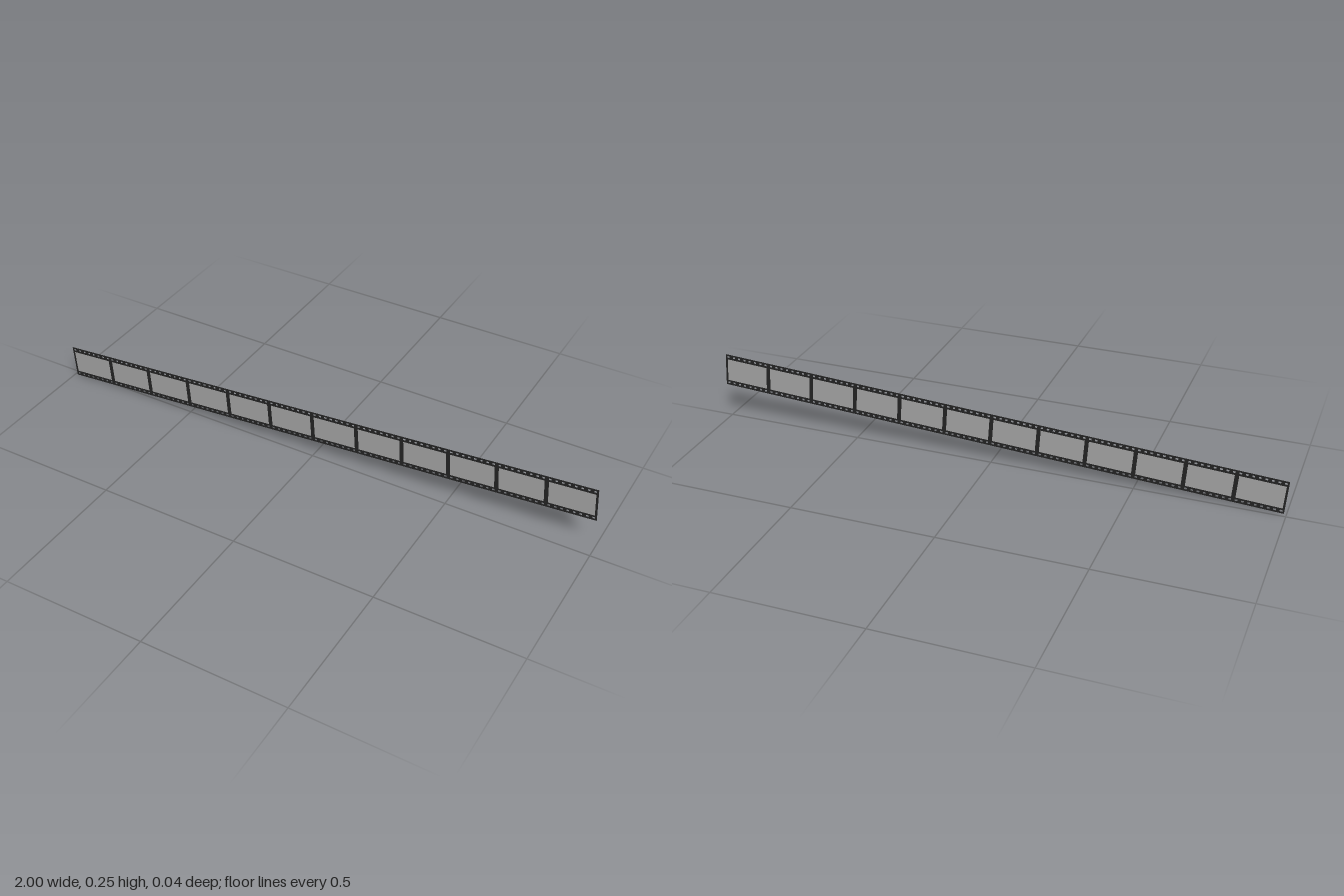
import * as THREE from 'three';

const FRAMES = 12, LENGTH = 1.995, HEIGHT = 0.118, THICK = 0.002;
const PITCH = LENGTH / FRAMES;
const WIN_W = PITCH - 0.014, WIN_H = 0.082;
const PERFS = 8, PERF_W = 0.009, PERF_H = 0.007, PERF_Y = 0.0505;

// Adds a centred rectangle to a shape or hole path
function rect(path, x, y, w, h) {
  path.moveTo(x - w / 2, y - h / 2);
  path.lineTo(x + w / 2, y - h / 2);
  path.lineTo(x + w / 2, y + h / 2);
  path.lineTo(x - w / 2, y + h / 2);
  path.closePath();
  return path;
}

export function createModel() {
  const model = new THREE.Group();
  model.name = 'filmStrip';
  const strip = new THREE.Group();
  strip.name = 'strip';
  const dark = new THREE.MeshStandardMaterial({ color: 0x222222 });
  const grey = new THREE.MeshStandardMaterial({ color: 0xa0a0a0 });

  // Film base with picture windows and two rows of perforations
  const outline = rect(new THREE.Shape(), 0, 0, LENGTH, HEIGHT);
  const panelGeo = new THREE.BoxGeometry(WIN_W, WIN_H, THICK * 0.5);
  for (let i = 0; i < FRAMES; i++) {
    const x = (i + 0.5) * PITCH - LENGTH / 2;
    outline.holes.push(rect(new THREE.Path(), x, 0, WIN_W, WIN_H));
    for (let j = 0; j < PERFS; j++) {
      const px = x + ((j + 0.5) / PERFS - 0.5) * PITCH;
      for (const s of [-1, 1]) {
        outline.holes.push(rect(new THREE.Path(), px, s * PERF_Y, PERF_W, PERF_H));
      }
    }
    // Picture panel filling the window
    const panel = new THREE.Mesh(panelGeo, grey);
    panel.name = 'picturePanel' + (i + 1);
    panel.position.x = x;
    strip.add(panel);
  }
  const baseGeo = new THREE.ExtrudeGeometry(outline, { depth: THICK, bevelEnabled: false });
  baseGeo.translate(0, 0, -THICK / 2);
  const base = new THREE.Mesh(baseGeo, dark);
  base.name = 'filmBase';
  strip.add(base);

  // Tilt upward to the right and turn slightly away
  strip.rotation.set(0, 0.0172, 0.0662, 'YXZ');
  strip.position.y = 0.125;
  model.add(strip);
  return model;
}
